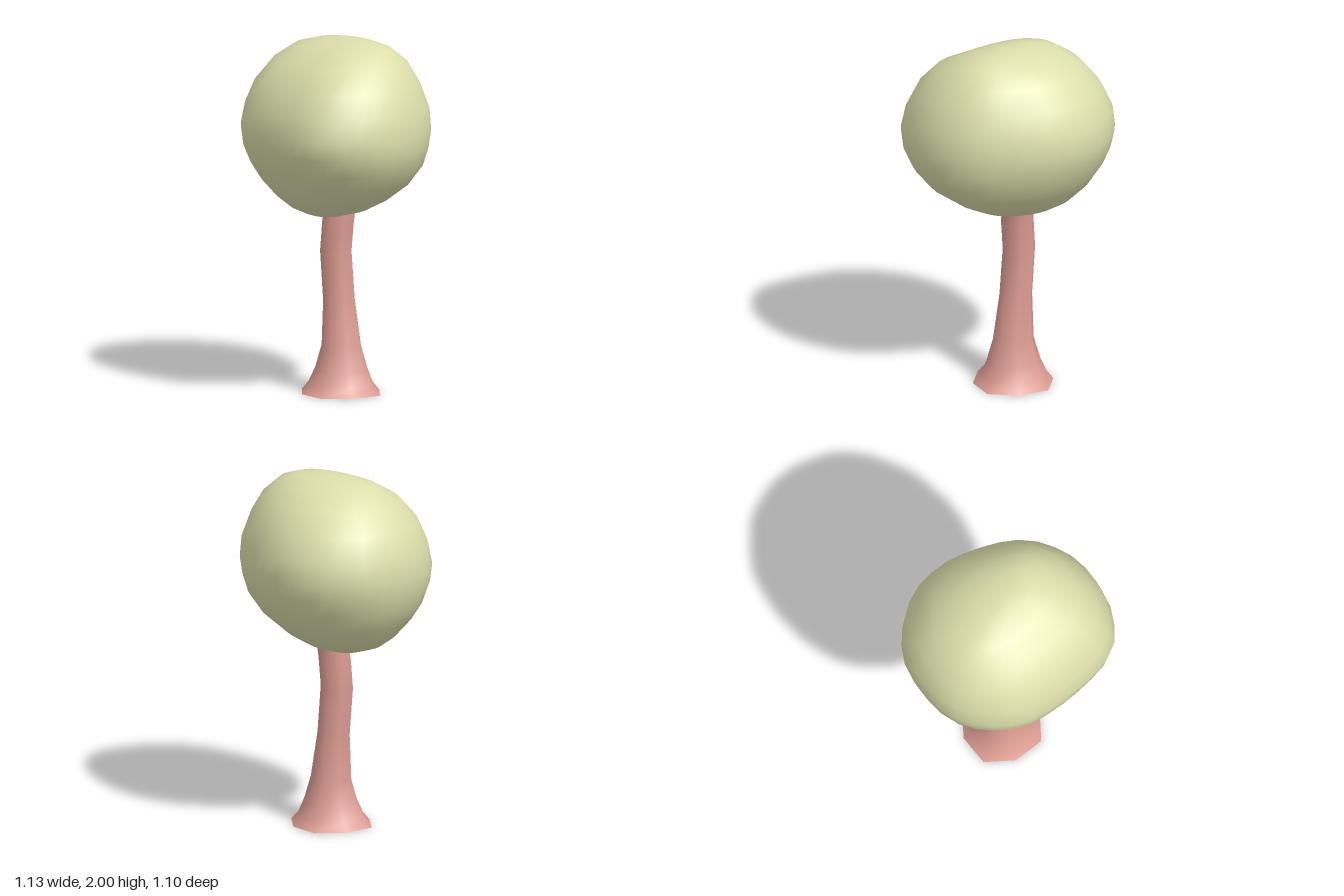
import * as THREE from 'three';
import { mergeVertices } from 'three/addons/utils/BufferGeometryUtils.js';

// Skin a closed outline (unit x, z pairs, anticlockwise from above) through
// rows of [y, xMin, xMax, zMin, zMax], listed from bottom to top.
function loft(outline, rows) {
  const n = outline.length, pos = [], idx = [];
  for (const [y, x0, x1, z0, z1] of rows)
    for (const [u, v] of outline)
      pos.push((x0 + x1) / 2 + u * (x1 - x0) / 2, y, (z0 + z1) / 2 + v * (z1 - z0) / 2);
  for (let i = 0; i < rows.length - 1; i++)
    for (let j = 0; j < n; j++) {
      const a = i * n + j, b = i * n + (j + 1) % n;
      idx.push(a, b, b + n, a, b + n, a + n);
    }
  let geo = new THREE.BufferGeometry();
  geo.setAttribute('position', new THREE.Float32BufferAttribute(pos, 3));
  geo.setIndex(idx);
  geo = mergeVertices(geo, 1e-5); // closes the poles
  geo.computeVertexNormals();
  return geo;
}

export function createModel() {
  const tree = new THREE.Group();
  tree.name = 'tree';

  // Trunk: slightly bent eight-sided tube with flared, open foot
  const octagon = [];
  for (let i = 0; i < 8; i++) {
    const a = i * Math.PI / 4 + 0.12, r = i % 2 ? 0.93 : 1;
    octagon.push([r * Math.cos(a), -r * Math.sin(a)]);
  }
  const trunk = new THREE.Mesh(
    loft(octagon, [
      [0, -0.242, 0.245, -0.27, 0.21],
      [0.05, -0.2, 0.2, -0.23, 0.165],
      [0.13, -0.16, 0.165, -0.195, 0.13],
      [0.26, -0.12, 0.125, -0.155, 0.09],
      [0.52, -0.112, 0.082, -0.135, 0.065],
      [0.79, -0.135, 0.06, -0.135, 0.06],
      [0.95, -0.122, 0.074, -0.137, 0.06],
      [1.1, -0.11, 0.085, -0.15, 0.04],
    ]),
    new THREE.MeshStandardMaterial({ color: 0xdc9c92, side: THREE.DoubleSide })
  );
  trunk.name = 'trunk';
  tree.add(trunk);

  // Crown: lopsided rounded mass, longest along one diagonal
  const plan = [
    [0.56, 0], [0.53, -0.13], [0.46, -0.25], [0.35, -0.36], [0.22, -0.46], [0.1, -0.52],
    [-0.08, -0.555], [-0.25, -0.52], [-0.42, -0.41], [-0.5, -0.29], [-0.55, -0.15],
    [-0.57, -0.03], [-0.53, 0.15], [-0.43, 0.31], [-0.35, 0.38], [-0.15, 0.475], [0, 0.52],
    [0.15, 0.55], [0.26, 0.54], [0.41, 0.44], [0.48, 0.35], [0.54, 0.22], [0.565, 0.08],
  ].map(([x, z]) => new THREE.Vector3(x / 0.567, 0, z / 0.553));
  const outline = new THREE.CatmullRomCurve3(plan, true)
    .getSpacedPoints(32).slice(0, 32).map((p) => [p.x, p.z]);
  const crown = new THREE.Mesh(
    loft(outline, [
      [0.99, -0.08, -0.08, 0.04, 0.04],
      [1.005, -0.185, 0.05, -0.1, 0.125],
      [1.04, -0.285, 0.18, -0.205, 0.21],
      [1.1, -0.37, 0.3, -0.305, 0.3],
      [1.2, -0.46, 0.44, -0.41, 0.41],
      [1.3, -0.525, 0.522, -0.475, 0.48],
      [1.4, -0.555, 0.553, -0.525, 0.54],
      [1.5, -0.57, 0.565, -0.55, 0.555],
      [1.62, -0.552, 0.55, -0.54, 0.525],
      [1.75, -0.497, 0.5, -0.48, 0.46],
      [1.87, -0.4, 0.425, -0.385, 0.345],
      [1.95, -0.28, 0.33, -0.25, 0.19],
      [1.985, -0.15, 0.23, -0.14, 0.08],
      [2, 0.05, 0.05, -0.02, -0.02],
    ]),
    new THREE.MeshStandardMaterial({ color: 0xdcdeab })
  );
  crown.name = 'crown';
  tree.add(crown);

  return tree;
}
